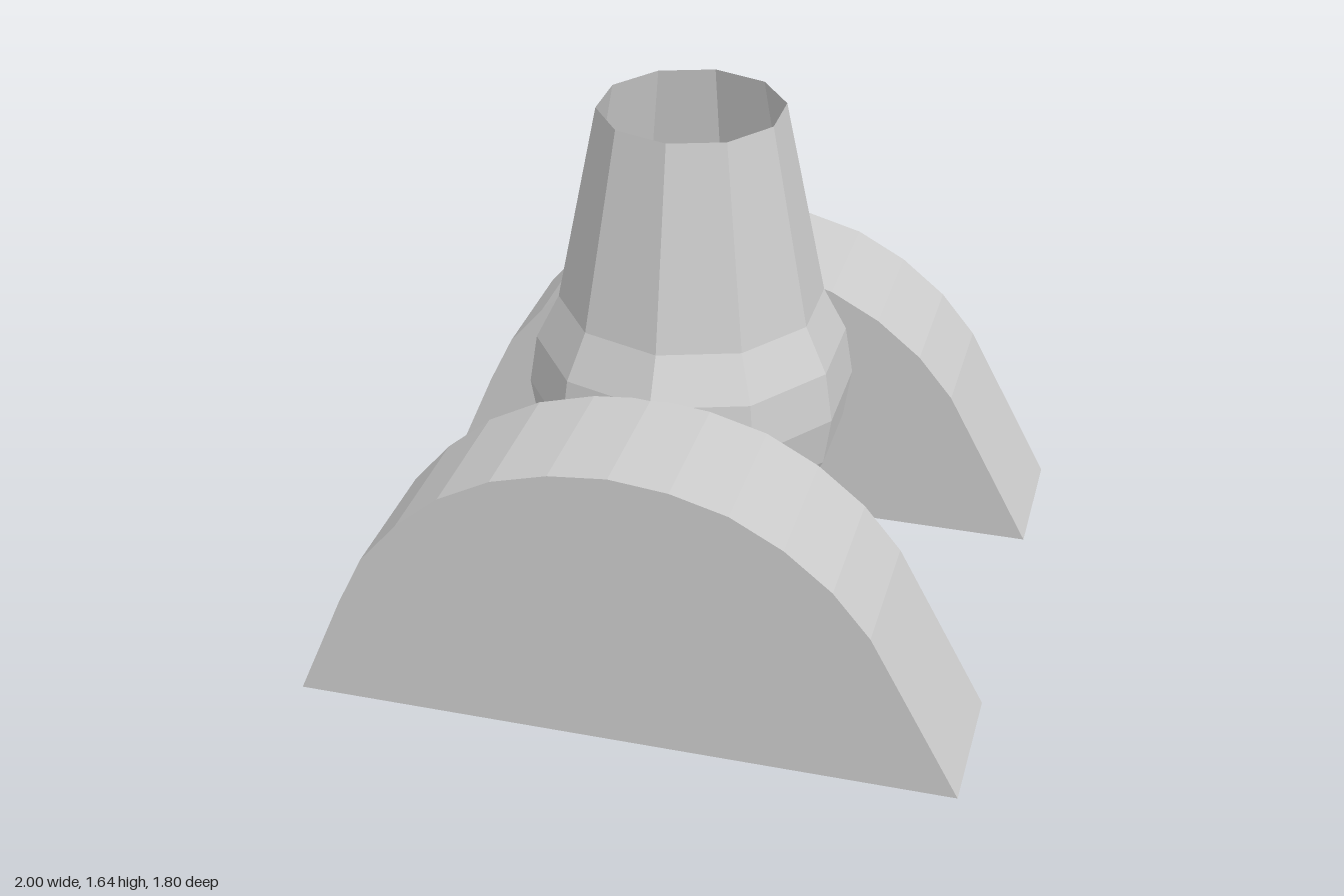
import * as THREE from 'three';

const material = new THREE.MeshStandardMaterial({ color: 0xcccccc, flatShading: true, side: THREE.DoubleSide });

// Outline of an arched support, from its left foot over the crown to its right foot
const ARCH = [
  [-1, 0], [-0.855, 0.34], [-0.775, 0.505], [-0.66, 0.64], [-0.525, 0.755], [-0.365, 0.84], [-0.195, 0.887],
  [-0.02, 0.905], [0.155, 0.887], [0.325, 0.84], [0.48, 0.755], [0.62, 0.64], [0.73, 0.505], [1, 0],
];
const Z_INNER = 0.45, Z_OUTER = 0.9;

function mesh(name, geometry) {
  const m = new THREE.Mesh(geometry, material);
  m.name = name;
  return m;
}

// Hollow arched support, open underneath: two flat walls and a bent strip
function createSupport(name, zBack, zFront) {
  const group = new THREE.Group();
  group.name = name;

  const shape = new THREE.Shape(ARCH.map(([x, y]) => new THREE.Vector2(x, y)));
  const frontWall = mesh('frontWall', new THREE.ShapeGeometry(shape));
  frontWall.position.z = zFront;
  const backWall = mesh('backWall', new THREE.ShapeGeometry(shape).rotateY(Math.PI).scale(-1, 1, 1));
  backWall.position.z = zBack;

  const strip = new THREE.PlaneGeometry(1, 1, ARCH.length - 1, 1);
  ARCH.forEach(([x, y], i) => {
    strip.attributes.position.setXYZ(i, x, y, zBack);
    strip.attributes.position.setXYZ(i + ARCH.length, x, y, zFront);
  });
  strip.computeVertexNormals();

  group.add(frontWall, backWall, mesh('archTop', strip));
  return group;
}

// Ten-sided open vessel: a round bowl that narrows into a tapering neck
function createVessel() {
  const radius = 0.5, centreY = 0.73, profile = [];
  for (let i = 0; i <= 7; i++) {
    const a = i * Math.PI / 10;
    profile.push(new THREE.Vector2(radius * Math.sin(a), centreY - radius * Math.cos(a)));
  }
  profile.push(new THREE.Vector2(0.28, 1.64));
  const vessel = mesh('vessel', new THREE.LatheGeometry(profile, 10));
  vessel.position.x = -0.02;
  return vessel;
}

export function createModel() {
  const model = new THREE.Group();
  model.name = 'vesselOnSupports';
  model.add(
    createVessel(),
    createSupport('frontSupport', Z_INNER, Z_OUTER),
    createSupport('backSupport', -Z_OUTER, -Z_INNER),
  );
  return model;
}
